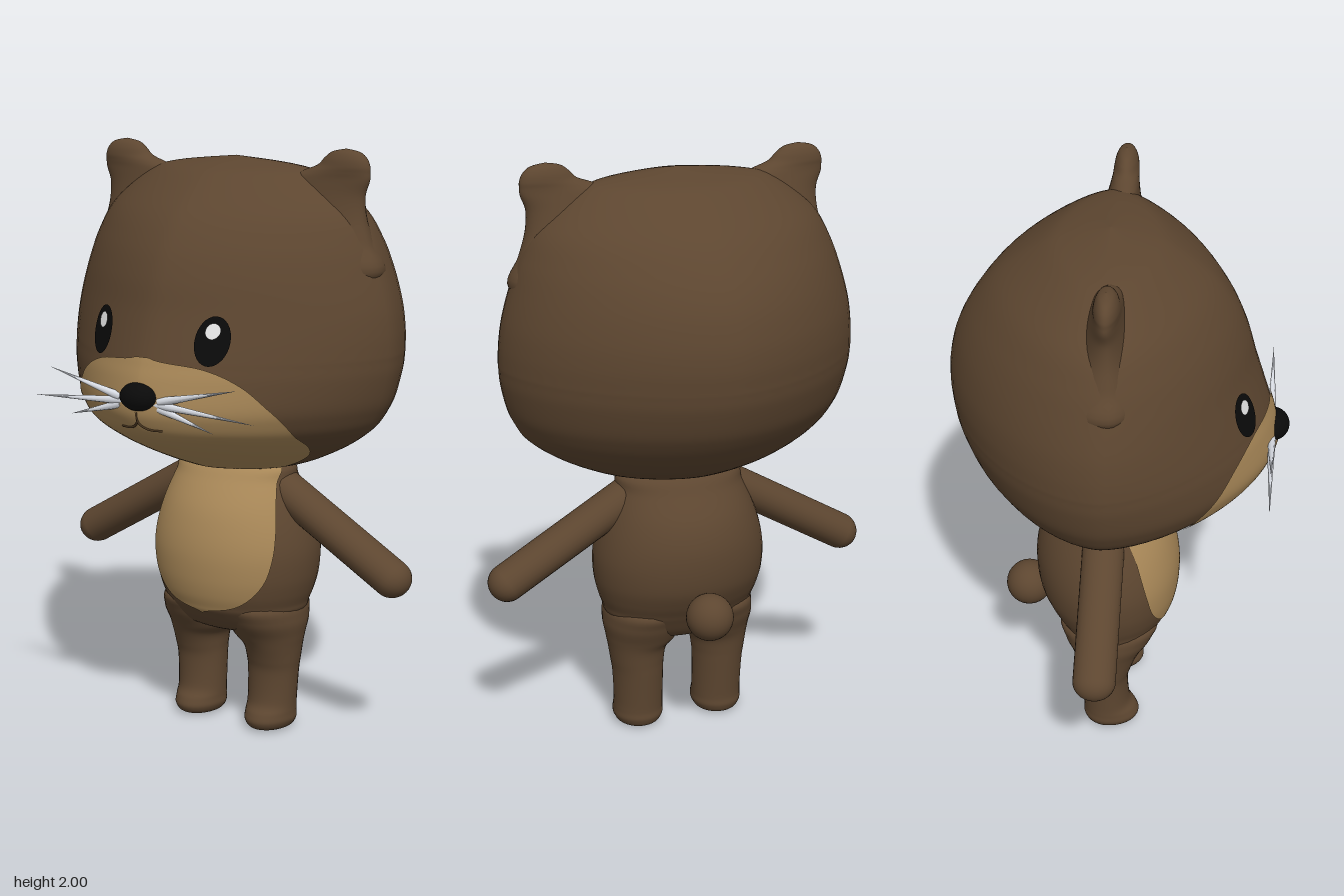
import * as THREE from 'three';

const mat = (name, color) => new THREE.MeshStandardMaterial({ name, color });

// Smooth interpolation between profile rows, component by component
function sample(rows, t) {
  const last = rows.length - 1;
  const i = Math.min(Math.floor(t), last - 1), u = t - i;
  const r = k => rows[Math.max(0, Math.min(last, k))];
  const [a, b, c, d] = [r(i - 1), r(i), r(i + 1), r(i + 2)];
  return b.map((p, k) => {
    const m0 = (c[k] - a[k]) / 2, m1 = (d[k] - p) / 2, e = c[k] - p;
    return p + u * (m0 + u * (3 * e - 2 * m0 - m1 + u * (m0 + m1 - 2 * e)));
  });
}

// Stack of superellipse sections. Row: [y, halfWidth, zFront, zBack, patchFraction, centreX]
// With patch set, only the front span covered by patchFraction is built, lifted slightly.
function loft(rows, { front = 2, back = 2, cz = -0.04, from = 0, to = rows.length - 1, patch = false, seg = 48 } = {}) {
  const pos = [], idx = [], count = Math.round((to - from) * 6), lift = patch ? 0.005 : 0;
  const pw = (v, n) => Math.sign(v) * Math.abs(v) ** (2 / n);
  const cols = patch ? seg + 1 : seg;
  for (let i = 0; i <= count; i++) {
    const [y, w, zf, zb, f = 1, cx = 0] = sample(rows, from + (to - from) * i / count);
    const span = Math.asin(Math.min(1, Math.max(0, f)) ** (front / 2));
    for (let j = 0; j < cols; j++) {
      const a = patch ? span * (2 * j / seg - 1) : 2 * Math.PI * j / seg;
      const c = Math.cos(a), n = c > 0 ? front : back, depth = c > 0 ? zf - cz : cz - zb;
      pos.push(cx + (Math.max(0, w) + lift) * pw(Math.sin(a), n), y, cz + (depth + lift) * pw(c, n));
    }
  }
  for (let i = 0; i < count; i++) for (let j = 0; j < seg; j++) {
    const k = (j + 1) % cols, p = i * cols, q = p + cols;
    idx.push(p + j, p + k, q + k, p + j, q + k, q + j);
  }
  const g = new THREE.BufferGeometry();
  g.setAttribute('position', new THREE.Float32BufferAttribute(pos, 3));
  g.setIndex(idx);
  g.computeVertexNormals();
  return g;
}

const HEAD_SHAPE = { front: 1.6, back: 1.7, cz: -0.03, seg: 64 };
const HEAD = [
  [0.915, 0, -0.03, -0.03, 0.9], [0.925, 0.17, 0.1, -0.12, 0.9], [0.95, 0.275, 0.185, -0.215, 0.91],
  [1.0, 0.39, 0.305, -0.32, 0.9], [1.05, 0.475, 0.405, -0.39, 0.85], [1.1, 0.535, 0.482, -0.44, 0.77],
  [1.15, 0.568, 0.514, -0.48, 0.71], [1.2, 0.59, 0.523, -0.51, 0.64], [1.28, 0.609, 0.51, -0.54, 0.5],
  [1.33, 0.614, 0.496, -0.55, 0.32], [1.357, 0.615, 0.488, -0.553, 0.04],
  [1.42, 0.612, 0.468, -0.557, 0], [1.5, 0.6, 0.443, -0.55, 0], [1.6, 0.572, 0.415, -0.523, 0],
  [1.7, 0.535, 0.37, -0.47, 0], [1.8, 0.475, 0.295, -0.387, 0], [1.9, 0.345, 0.17, -0.25, 0],
  [1.935, 0.235, 0.085, -0.16, 0], [1.96, 0, -0.03, -0.03, 0],
];
const BODY = [
  [0.325, 0, -0.04, -0.04, 0], [0.34, 0.12, 0.04, -0.12, 0], [0.37, 0.215, 0.115, -0.175, 0],
  [0.43, 0.26, 0.166, -0.215, 0], [0.46, 0.27, 0.18, -0.232, 0.42], [0.5, 0.284, 0.193, -0.255, 0.62],
  [0.56, 0.297, 0.202, -0.28, 0.74], [0.64, 0.3, 0.203, -0.291, 0.8], [0.72, 0.286, 0.19, -0.287, 0.835],
  [0.8, 0.26, 0.163, -0.262, 0.86], [0.88, 0.226, 0.115, -0.21, 0.9], [0.94, 0.2, 0.065, -0.16, 0.95],
  [0.98, 0, -0.04, -0.04, 0.95],
];
const LEG = [
  [0, 0, -0.03, -0.03, 1, 0.148], [0.004, 0.062, 0.05, -0.1, 1, 0.148], [0.03, 0.085, 0.076, -0.12, 1, 0.148],
  [0.06, 0.086, 0.068, -0.12, 1, 0.148], [0.1, 0.086, 0.044, -0.123, 1, 0.148], [0.2, 0.089, 0.038, -0.133, 1, 0.15],
  [0.25, 0.094, 0.048, -0.138, 1, 0.152], [0.3, 0.103, 0.066, -0.146, 1, 0.15], [0.34, 0.125, 0.088, -0.163, 1, 0.135],
  [0.4, 0.134, 0.125, -0.188, 1, 0.133], [0.46, 0.12, 0.13, -0.19, 1, 0.125], [0.5, 0, -0.035, -0.035, 1, 0.12],
];
// Thin ear that flares into the crown
const EAR = [
  [1.5, 0, -0.03, -0.03, 1, 0.42], [1.6, 0.16, 0.09, -0.15, 1, 0.408], [1.7, 0.165, 0.075, -0.125, 1, 0.37],
  [1.78, 0.155, 0.055, -0.095, 1, 0.357], [1.85, 0.155, 0.042, -0.075, 1, 0.353], [1.9, 0.155, 0.035, -0.06, 1, 0.37],
  [1.925, 0.124, 0.033, -0.053, 1, 0.403], [1.945, 0.096, 0.031, -0.05, 1, 0.43], [1.97, 0.077, 0.025, -0.044, 1, 0.438],
  [1.99, 0.05, 0.012, -0.032, 1, 0.44], [2.0, 0, -0.01, -0.01, 1, 0.44],
];
const mirrored = (rows, s) => rows.map(r => [...r.slice(0, 5), s * r[5]]);

// Depth of the face surface at a given x and y
function faceZ(x, y) {
  const { front: n, cz } = HEAD_SHAPE;
  let lo = 0, hi = HEAD.length - 1;
  for (let k = 0; k < 30; k++) {
    const m = (lo + hi) / 2;
    if (sample(HEAD, m)[0] < y) lo = m; else hi = m;
  }
  const [, w, zf] = sample(HEAD, lo);
  return cz + (zf - cz) * (1 - Math.abs(x / w) ** n) ** (1 / n);
}

// Oval plate following the face
function faceOval(cx, cy, rx, ry, lift) {
  const g = new THREE.RingGeometry(0, 1, 32, 5);
  const p = g.attributes.position;
  for (let i = 0; i < p.count; i++) {
    const x = cx + p.getX(i) * rx, y = cy + p.getY(i) * ry;
    p.setXYZ(i, x, y, faceZ(x, y) + lift);
  }
  g.computeVertexNormals();
  return g;
}

export function createModel() {
  const fur = mat('brown fur', 0x5d4630);
  const tan = mat('tan fur', 0xa98858);
  const black = mat('black', 0x0a0a0a);
  const white = mat('eye white', 0xffffff);
  const whiskerGrey = mat('whisker grey', 0xe6eaf2);
  const mouthBrown = mat('mouth brown', 0x4a3620);

  const root = new THREE.Group();
  const add = (name, geometry, material) => {
    const m = new THREE.Mesh(geometry, material);
    m.name = name;
    root.add(m);
    return m;
  };
  const ball = (name, material, [x, y, z], [a, b, c]) => {
    const m = add(name, new THREE.SphereGeometry(1, 32, 20), material);
    m.position.set(x, y, z);
    m.scale.set(a, b, c);
  };

  // Head with muzzle, body with belly, tail
  add('head', loft(HEAD, HEAD_SHAPE), fur);
  add('muzzle', loft(HEAD, { ...HEAD_SHAPE, from: 1, to: 10, patch: true }), tan);
  add('body', loft(BODY), fur);
  add('belly', loft(BODY, { from: 3, to: 11, patch: true }), tan);
  ball('tail', fur, [0, 0.49, -0.325], [0.08, 0.08, 0.08]);
  ball('nose', black, [0, 1.232, 0.505], [0.07, 0.047, 0.057]);

  const whiskers = [[0.075, 1.222, 0.37, 1.29], [0.06, 1.212, 0.435, 1.19], [0.075, 1.2, 0.285, 1.143]];
  for (const s of [1, -1]) {
    const side = s > 0 ? 'left' : 'right';
    add(side + 'Ear', loft(mirrored(EAR, s), { cz: -0.01, seg: 40 }), fur);
    add(side + 'Leg', loft(mirrored(LEG, s), { cz: -0.035, seg: 32 }), fur);

    // Eye and highlight
    add(side + 'Eye', faceOval(s * 0.217, 1.417, 0.052, 0.077, 0.008), black);
    add(side + 'EyeHighlight', faceOval(s * 0.217, 1.448, 0.022, 0.025, 0.013), white);

    // Arm
    const from = new THREE.Vector3(s * 0.14, 0.88, -0.042), to = new THREE.Vector3(s * 0.617, 0.602, -0.042);
    const dir = to.clone().sub(from);
    const arm = add(side + 'Arm', new THREE.CapsuleGeometry(0.063, dir.length(), 10, 24), fur);
    arm.scale.z = 1.13;
    arm.position.copy(from).add(to).multiplyScalar(0.5);
    arm.rotation.z = Math.atan2(-dir.x, dir.y);

    // Whiskers
    for (const [x0, y0, x1, y1] of whiskers) {
      const length = Math.hypot(x1 - x0, y1 - y0);
      const w = add(side + 'Whisker', new THREE.ConeGeometry(0.015, length, 8), whiskerGrey);
      w.position.set(s * (x0 + x1) / 2, (y0 + y1) / 2, 0.503);
      w.rotation.z = Math.atan2(-s * (x1 - x0), y1 - y0);
    }

    // Half of the mouth
    const path = [[0, 1.185], [0.003, 1.15], [0.03, 1.13], [0.08, 1.126]]
      .map(([x, y]) => new THREE.Vector3(s * x, y, faceZ(x, y) + 0.005));
    add(side + 'Mouth', new THREE.TubeGeometry(new THREE.CatmullRomCurve3(path), 16, 0.004, 6), mouthBrown);
  }
  return root;
}
